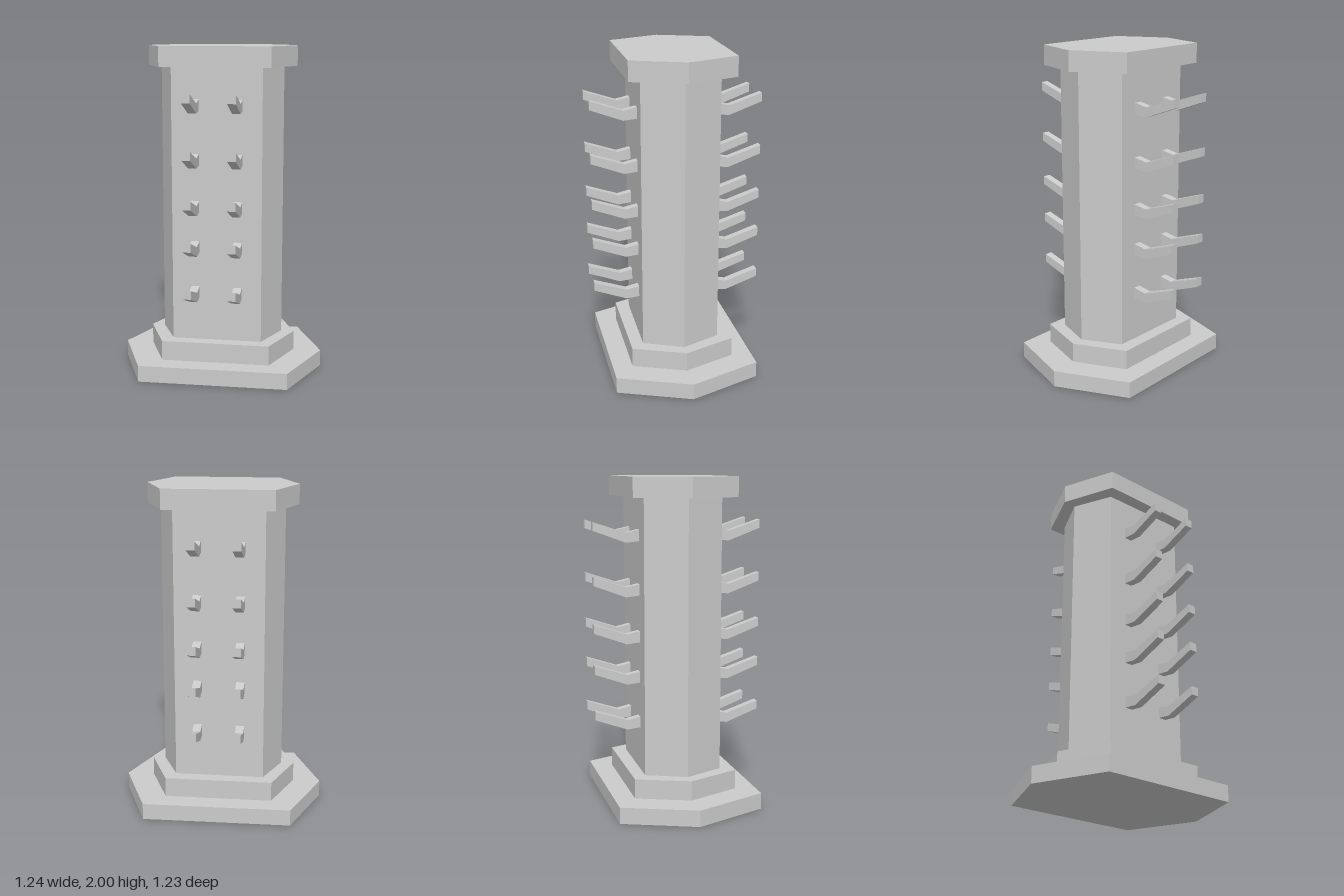
import * as THREE from 'three';

const material = new THREE.MeshStandardMaterial({ color: 0xcccccc, flatShading: true });

// Hexagonal slab: three plan corners [x, z], the other three are their half-turn copies
function slab(name, corners, bottom, top) {
  const ring = [...corners, ...corners.map(([x, z]) => [-x, -z])];
  const shape = new THREE.Shape(ring.map(([x, z]) => new THREE.Vector2(x, -z)));
  const geometry = new THREE.ExtrudeGeometry(shape, { depth: top - bottom, bevelEnabled: false });
  geometry.rotateX(-Math.PI / 2).translate(0, bottom, 0);
  const mesh = new THREE.Mesh(geometry, material);
  mesh.name = name;
  return mesh;
}

// Bent peg profile: distance from the axis, height below the tip
function pegGeometry() {
  const width = 0.05;
  const profile = [
    [0.22, -0.115], [0.318, -0.125], [0.516, -0.052],
    [0.516, 0], [0.318, -0.066], [0.22, -0.045],
  ];
  const shape = new THREE.Shape(profile.map(([r, y]) => new THREE.Vector2(r, y)));
  return new THREE.ExtrudeGeometry(shape, { depth: width, bevelEnabled: false })
    .translate(0, 0, -width / 2);
}

export function createModel() {
  const model = new THREE.Group();
  model.name = 'displayStand';

  // Stepped plinth, column and cap
  const tier = [[0.448, -0.077], [0.375, 0.258], [0.093, 0.448]];
  const shaft = [[0.356, -0.041], [0.31, 0.214], [0.09, 0.352]];
  model.add(
    slab('base', [[0.62, -0.113], [0.516, 0.353], [0.126, 0.617]], 0, 0.1),
    slab('plinth', tier, 0.1, 0.22),
    slab('column', shaft, 0.22, 1.88),
    slab('cap', tier, 1.88, 2),
  );

  // Two columns of pegs on each of the two broad faces
  const geometry = pegGeometry();
  const angle = Math.atan2(0.825, 0.565);
  for (const [name, turn] of [['backPegs', 0], ['frontPegs', Math.PI]]) {
    const pegs = new THREE.Group();
    pegs.name = name;
    pegs.rotation.y = angle + turn;
    for (const tipHeight of [0.604, 0.885, 1.133, 1.417, 1.74]) {
      for (const side of [-0.13, 0.13]) {
        const peg = new THREE.Mesh(geometry, material);
        peg.name = 'peg';
        peg.position.set(0, tipHeight, side);
        pegs.add(peg);
      }
    }
    model.add(pegs);
  }
  return model;
}
